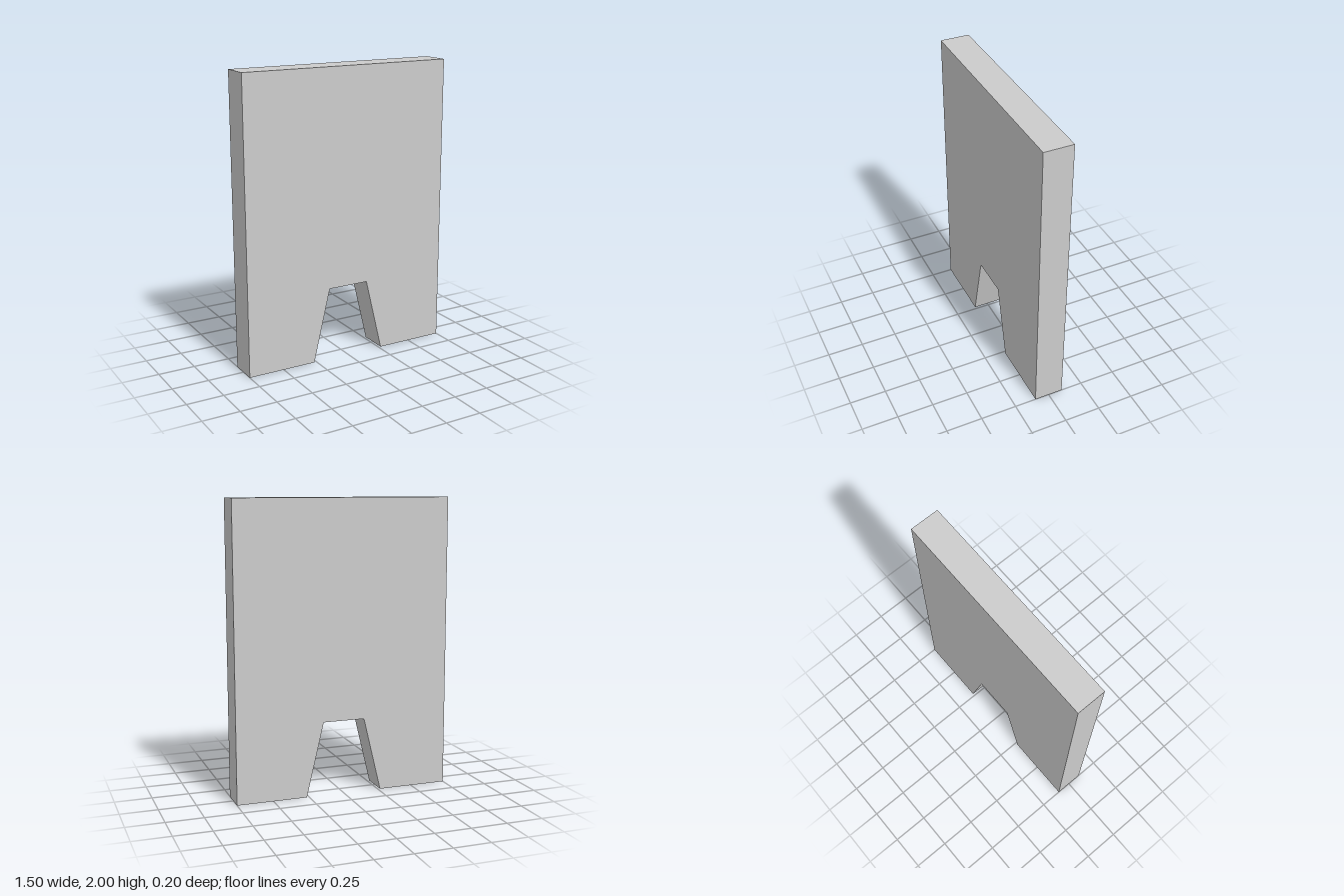
import * as THREE from 'three';

export function createModel() {
  const group = new THREE.Group();
  group.name = 'notchedPanel';

  const halfWidth = 0.75, height = 2, depth = 0.2;
  const notchBottom = 0.267, notchTop = 0.145, notchHeight = 0.51;

  // Panel outline with a tapered notch in the bottom edge
  const outline = new THREE.Shape([
    [-halfWidth, 0], [-notchBottom, 0], [-notchTop, notchHeight],
    [notchTop, notchHeight], [notchBottom, 0], [halfWidth, 0],
    [halfWidth, height], [-halfWidth, height],
  ].map(([x, y]) => new THREE.Vector2(x, y)));

  const geometry = new THREE.ExtrudeGeometry(outline, { depth, bevelEnabled: false });
  geometry.translate(0, 0, -depth / 2);

  const panel = new THREE.Mesh(
    geometry,
    new THREE.MeshStandardMaterial({ color: 0xcccccc, flatShading: true })
  );
  panel.name = 'panel';
  group.add(panel);
  return group;
}
